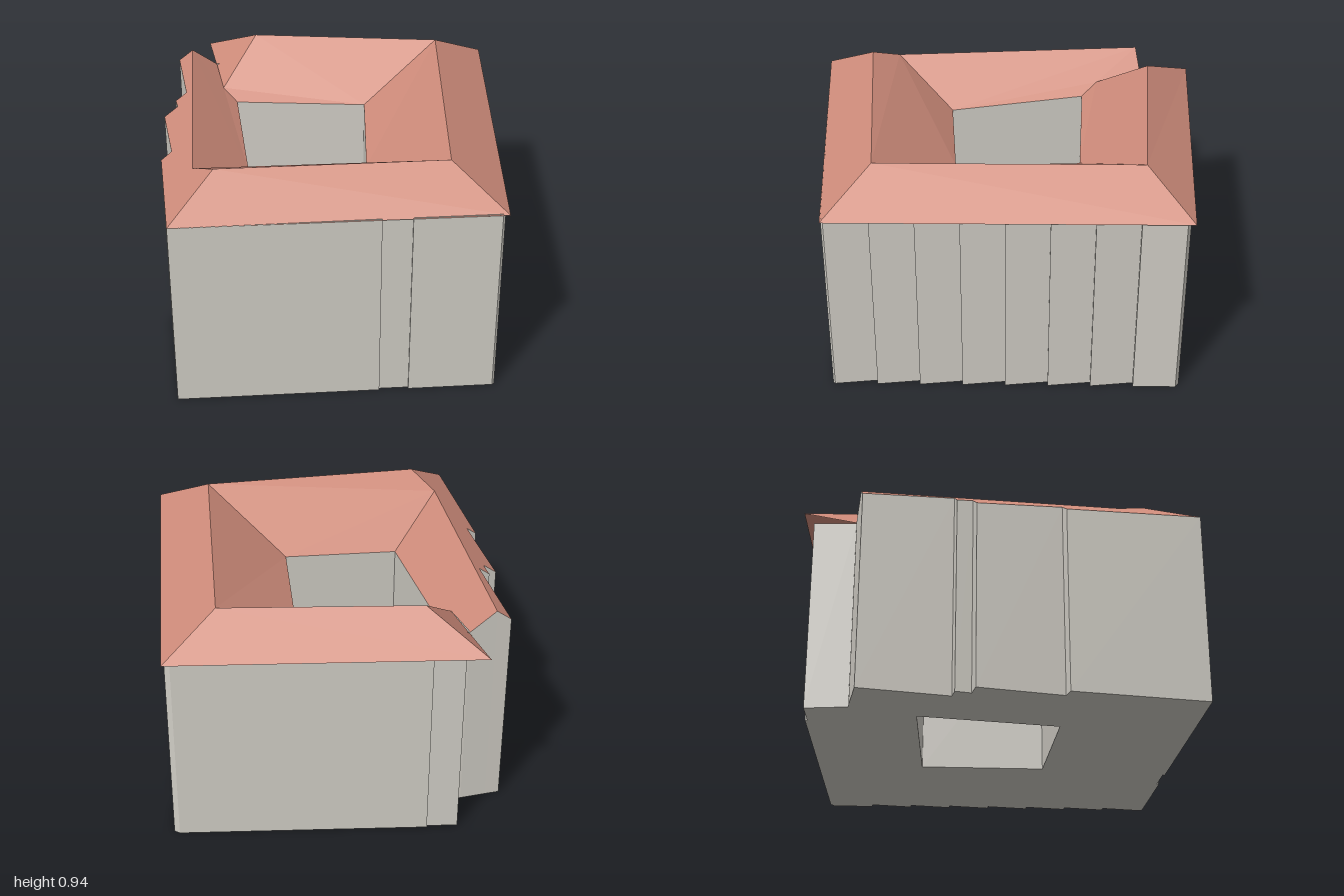
import * as THREE from 'three';

const wallMat = new THREE.MeshStandardMaterial({ color: 0xd0cdc5, side: THREE.DoubleSide });
wallMat.name = 'pale grey plaster';
const roofMat = new THREE.MeshStandardMaterial({ color: 0xcf8c7b, side: THREE.DoubleSide });
roofMat.name = 'terracotta';

// Triangles as a flat list of [x, y, z] corners
function meshOf(name, corners, material) {
  const g = new THREE.BufferGeometry();
  g.setAttribute('position', new THREE.Float32BufferAttribute(corners.flat(), 3));
  g.computeVertexNormals();
  const m = new THREE.Mesh(g, material);
  m.name = name;
  return m;
}

// Fill a polygon (with optional holes) seen in plan, facing up or down
function fill(points, holes = [], up = true) {
  const plan = (list) => list.map(([x, , z]) => new THREE.Vector2(x, z));
  const all = [points, ...holes].flat();
  const out = [];
  for (const t of THREE.ShapeUtils.triangulateShape(plan(points), holes.map(plan))) {
    const [a, b, c] = t.map((i) => all[i]);
    const ny = (b[2] - a[2]) * (c[0] - a[0]) - (b[0] - a[0]) * (c[2] - a[2]);
    out.push(...((ny > 0) === up ? [a, b, c] : [a, c, b]));
  }
  return out;
}

// Vertical walls from the ground up to each corner's own height
function wallLoop(points) {
  const out = [];
  points.forEach((a, i) => {
    const b = points[(i + 1) % points.length];
    const a0 = [a[0], 0, a[2]], b0 = [b[0], 0, b[2]];
    out.push(a0, b0, b, a0, b, a);
  });
  return out;
}

export function createModel() {
  const group = new THREE.Group();
  group.name = 'courtyardBuilding';
  const eave = 0.81, top = 0.815, ridge = 0.945, lowRidge = 0.885;

  // Roof corners: eaves, ridges and courtyard edge
  const eF = [0.135, eave, 0.99], eR = [0.97, eave, 0], eB = [-0.06, eave, -1], eL = [-0.97, eave, -0.16];
  const rF = [0.1, ridge, 0.725], rR = [0.685, ridge, 0.025], rB = [-0.08, ridge, -0.72], rL = [-0.675, ridge, -0.185];
  const lowA = [-0.85, lowRidge, 0.04], lowB = [-0.04, lowRidge, 0.715];
  const cF = [-0.07, 0.72, 0.4], cR = [0.24, 0.735, 0.035], cB = [-0.125, 0.75, -0.32], cL = [-0.53, 0.75, 0.06];
  const hipFoot = [-0.62, 0.787, 0.06], notch = [-0.79, 0.807, -0.047];

  // Stepped front-left wall, cut off by the slope of the low roof
  const stepped = [[-0.885, 0.09], [-0.58, 0.3], [-0.605, 0.34], [-0.55, 0.375],
    [-0.58, 0.425], [-0.29, 0.62], [-0.31, 0.66]].map(([x, z]) => {
    const d = (x + 0.85) * -0.64 + (z - 0.04) * 0.768;
    return [x, lowRidge - 0.74 * d, z];
  });

  // Roof slopes
  const slopes = {
    frontRightOuterSlope: [eF, eR, rR, rF],
    backRightOuterSlope: [eR, eB, rB, rR],
    backLeftOuterSlope: [eB, eL, rL, rB],
    leftHipEnd: [eL, hipFoot, rL],
    frontRightInnerSlope: [rF, rR, cR, cF, lowB],
    backRightInnerSlope: [rR, rB, cB, cR],
    backLeftInnerSlope: [rB, rL, hipFoot, cL, cB],
    lowRoofInnerSlope: [lowB, cF, cL, hipFoot, notch, lowA],
    lowRoofOuterSlope: [lowA, ...stepped, eF, rF, lowB],
  };
  for (const [name, pts] of Object.entries(slopes)) group.add(meshOf(name, fill(pts), roofMat));

  // Saw-toothed back-right wall
  const teeth = [];
  const from = [0.95, 0.005], to = [-0.045, -0.97], n = 8;
  for (let i = 0; i < n; i++) {
    const x = from[0] + (to[0] - from[0]) * i / n, z = from[1] + (to[1] - from[1]) * i / n;
    if (i > 0) teeth.push([x - 0.016, top, z + 0.016]);
    teeth.push([x, top, z]);
  }

  // Outer outline, running round the building from the front corner
  const outer = [
    eF,
    [0.655, top, 0.37], [0.648, top, 0.364], [0.724, top, 0.274], [0.731, top, 0.28],
    [0.95, top, 0.018], ...teeth, [to[0], top, to[1]], [-0.07, top, -0.965],
    [-0.8, top, -0.29], [-0.794, top, -0.283], [-0.885, top, -0.2],
    [-0.775, eave, -0.065], notch, lowA, ...stepped,
  ];
  const court = [cF, cL, cB, cR];

  group.add(meshOf('outerWalls', wallLoop(outer), wallMat));
  group.add(meshOf('courtyardWalls', wallLoop(court), wallMat));
  const ground = (list) => list.map(([x, , z]) => [x, 0, z]);
  group.add(meshOf('floor', fill(ground(outer), [ground(court)], false), wallMat));
  return group;
}
